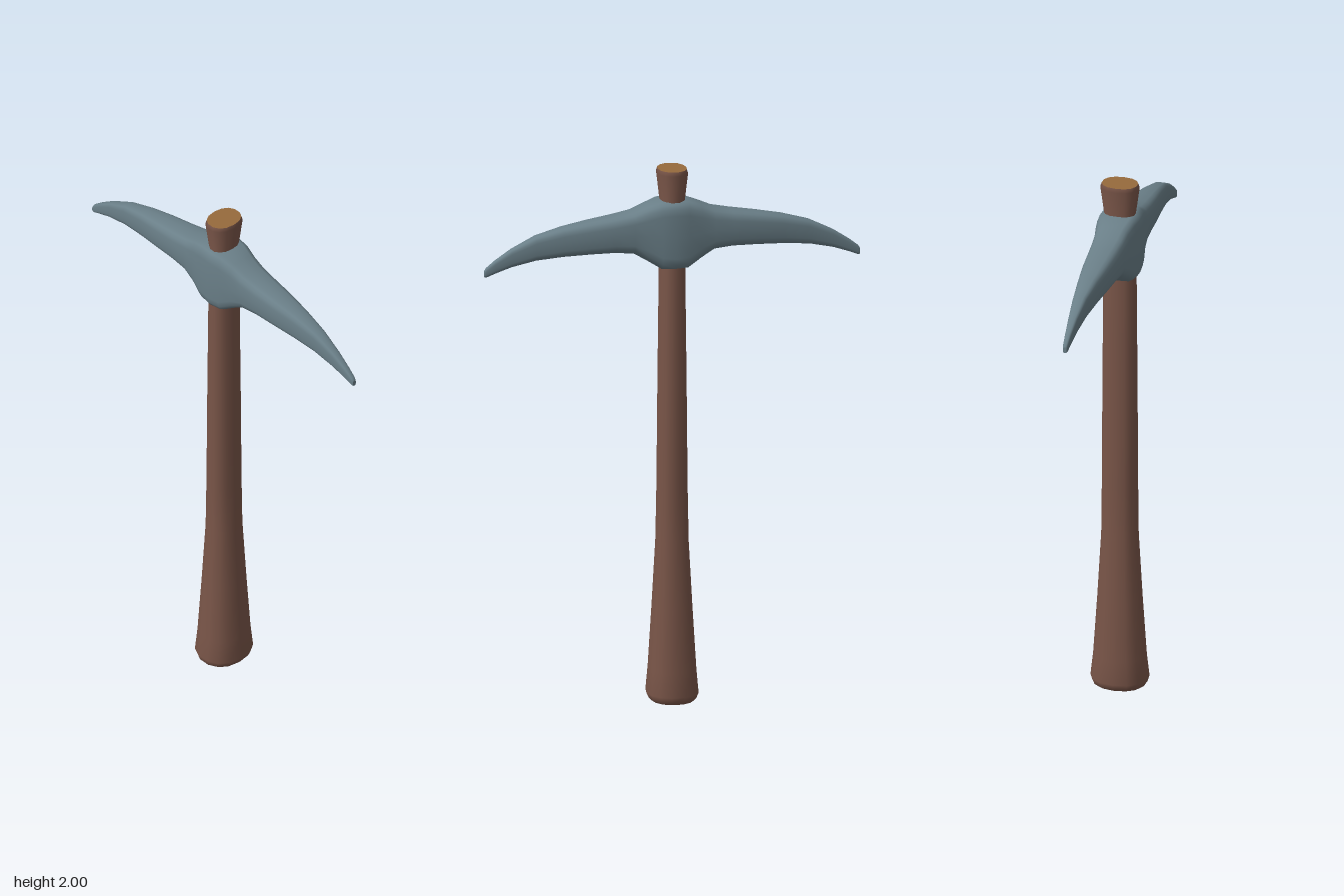
import * as THREE from 'three';

const wood = new THREE.MeshStandardMaterial({ color: 0x795548 });
wood.name = 'brown wood';
const cutWood = new THREE.MeshStandardMaterial({ color: 0x966a3c });
cutWood.name = 'cut wood';
const steel = new THREE.MeshStandardMaterial({ color: 0x6a7f88 });
steel.name = 'blue grey steel';

// Skin a list of closed rings; optional flat caps use material group 1
function loft(rings) {
  const n = rings[0].length, pos = [], idx = [], caps = [];
  rings.forEach(r => r.forEach(p => pos.push(...p)));
  for (let i = 0; i < rings.length - 1; i++) {
    for (let j = 0; j < n; j++) {
      const k = (j + 1) % n;
      const a = i * n + j, b = i * n + k, c = a + n, d = b + n;
      idx.push(a, c, b, b, c, d);
    }
  }
  for (const end of [0, rings.length - 1]) {
    const start = pos.length / 3, ring = rings[end];
    ring.forEach(p => pos.push(...p));
    for (let j = 1; j < n - 1; j++) {
      if (end) caps.push(start, start + j + 1, start + j);
      else caps.push(start, start + j, start + j + 1);
    }
  }
  const g = new THREE.BufferGeometry();
  g.setAttribute('position', new THREE.Float32BufferAttribute(pos, 3));
  g.setIndex([...idx, ...caps]);
  g.addGroup(0, idx.length, 0);
  g.addGroup(idx.length, caps.length, 1);
  g.computeVertexNormals();
  return g;
}

// Superellipse outline: power 1 is an ellipse, smaller is boxier
function outline(sides, power, place) {
  return Array.from({ length: sides }, (_, j) => {
    const t = (j / sides) * Math.PI * 2;
    const f = v => Math.sign(v) * Math.pow(Math.abs(v), power);
    return place(f(Math.cos(t)), f(Math.sin(t)));
  });
}

export function createModel() {
  const model = new THREE.Group();
  model.name = 'pickaxe';

  // Handle: y, half width, half depth
  const handleSections = [
    [0, 0.078, 0.09], [0.008, 0.086, 0.1], [0.03, 0.096, 0.107], [0.12, 0.088, 0.097],
    [0.35, 0.074, 0.082], [0.6, 0.06, 0.068], [0.8, 0.056, 0.066], [1.2, 0.052, 0.064],
    [1.62, 0.047, 0.061], [1.88, 0.045, 0.058], [1.985, 0.057, 0.072], [2, 0.053, 0.067],
  ];
  const handle = new THREE.Mesh(
    loft(handleSections.map(([y, w, d]) => outline(14, 0.9, (c, s) => [w * c, y, d * s]))),
    [wood, cutWood]
  );
  handle.name = 'handle';
  model.add(handle);

  // Half of the head: x, top, bottom, half depth, roundness
  const half = [
    [0, 1.887, 1.628, 0.083, 0.4], [0.05, 1.885, 1.632, 0.078, 0.42],
    [0.1, 1.868, 1.663, 0.068, 0.5], [0.15, 1.847, 1.693, 0.064, 0.55],
    [0.22, 1.834, 1.699, 0.06, 0.6], [0.31, 1.82, 1.698, 0.053, 0.6],
    [0.41, 1.802, 1.694, 0.041, 0.6], [0.51, 1.775, 1.685, 0.029, 0.6],
    [0.6, 1.731, 1.665, 0.019, 0.6], [0.66, 1.692, 1.644, 0.013, 0.65],
    [0.693, 1.666, 1.631, 0.01, 0.7], [0.7, 1.655, 1.632, 0.007, 0.7],
  ];
  const mirrored = half.slice(1).reverse().map(([x, ...rest]) => [-x, ...rest]);
  const rings = [...mirrored, ...half].map(([x, top, bottom, d, power]) =>
    outline(20, power, (c, s) => [x, (top + bottom) / 2 + (top - bottom) / 2 * s, d * c]));
  const head = new THREE.Mesh(loft(rings), [steel, steel]);
  head.name = 'pickHead';
  model.add(head);

  return model;
}
